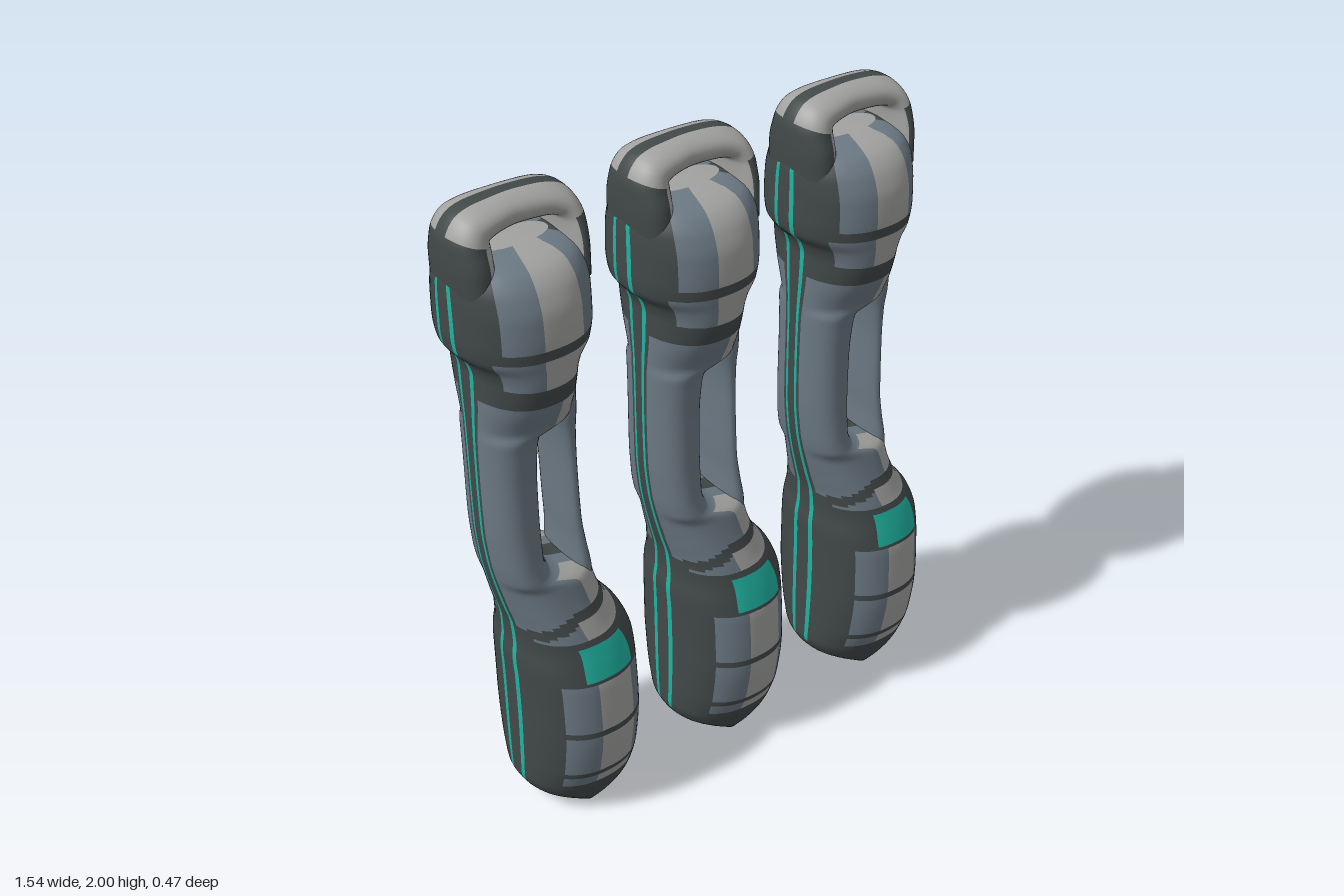
import * as THREE from 'three';

const colours = { darkTrim: 0x424848, lightPlate: 0xa2a3a0, blueGreyShell: 0x6c7984, tealLight: 0x1fb3a1 };
const materials = Object.entries(colours).map(([name, color]) => {
  const m = new THREE.MeshStandardMaterial({ color });
  m.name = name;
  return m;
});
const DARK = 0, LIGHT = 1, BLUE = 2, TEAL = 3;

// Smooth interpolation of rows [t, a, b, c...] without overshoot
function sample(rows, t) {
  let i = 0;
  while (i < rows.length - 2 && t > rows[i + 1][0]) i++;
  const h = rows[i + 1][0] - rows[i][0], f = (t - rows[i][0]) / h;
  return rows[0].slice(1).map((_, n) => {
    const k = n + 1;
    const slope = (j) => (rows[j + 1][k] - rows[j][k]) / (rows[j + 1][0] - rows[j][0]);
    const tangent = (j) => {
      if (j === 0) return slope(0);
      if (j === rows.length - 1) return slope(j - 1);
      const p = slope(j - 1), q = slope(j);
      return p * q <= 0 ? 0 : (2 * p * q) / (p + q);
    };
    const f2 = f * f, f3 = f2 * f;
    return rows[i][k] * (2 * f3 - 3 * f2 + 1) + rows[i + 1][k] * (3 * f2 - 2 * f3)
      + h * (tangent(i) * (f3 - 2 * f2 + f) + tangent(i + 1) * (f3 - f2));
  });
}

// Skin over sections {x, y, tilt, hu, hz}; paint(y, u, s) picks the colour of each cell
function loft(sections, sides, power, paint) {
  const pos = [], faces = [[], [], [], []];
  const angle = (k) => ((k + 0.5) * 2 * Math.PI) / sides;
  const across = (a) => Math.sign(Math.cos(a)) * Math.abs(Math.cos(a)) ** power;
  for (const { x, y, tilt, hu, hz } of sections) {
    for (let k = 0; k < sides; k++) {
      const u = across(angle(k)) * hu;
      pos.push(x + Math.cos(tilt) * u, y + Math.sin(tilt) * u, hz * Math.sin(angle(k)));
    }
  }
  for (let i = 0; i < sections.length - 1; i++) {
    for (let k = 0; k < sides; k++) {
      const a = i * sides + k, b = i * sides + ((k + 1) % sides), c = a + sides, d = b + sides;
      const mid = angle(k + 0.5);
      const y = (sections[i].y + sections[i + 1].y) / 2;
      faces[paint(y, across(mid), Math.abs(Math.sin(mid)))].push(a, c, b, b, c, d);
    }
  }
  // End caps
  const last = sections.length - 1, base = last * sides, centre = pos.length / 3;
  pos.push(sections[0].x, sections[0].y, 0, sections[last].x, sections[last].y, 0);
  const c0 = paint(sections[0].y, 0, 1), c1 = paint(sections[last].y, 0, 1);
  for (let k = 0; k < sides; k++) {
    const n = (k + 1) % sides;
    faces[c0].push(centre, k, n);
    faces[c1].push(centre + 1, base + n, base + k);
  }
  const geo = new THREE.BufferGeometry();
  geo.setAttribute('position', new THREE.Float32BufferAttribute(pos, 3));
  geo.setIndex(faces.flat());
  let start = 0;
  faces.forEach((f, m) => { if (f.length) geo.addGroup(start, f.length, m); start += f.length; });
  geo.computeVertexNormals();
  return geo;
}

// Upright profile rows: y, left edge x, right edge x, half depth
function upright(rows, step) {
  const y0 = rows[0][0], y1 = rows[rows.length - 1][0], n = Math.round((y1 - y0) / step);
  return Array.from({ length: n + 1 }, (_, i) => {
    const y = y0 + ((y1 - y0) * i) / n, [l, r, hz] = sample(rows, y);
    return { x: (l + r) / 2, y, tilt: 0, hu: (r - l) / 2, hz };
  });
}

const bodyRows = [
  [0, 0.0, 0.09, 0.125], [0.03, -0.06, 0.16, 0.145], [0.07, -0.11, 0.215, 0.165], [0.12, -0.13, 0.235, 0.185],
  [0.2, -0.131, 0.238, 0.214], [0.35, -0.131, 0.24, 0.234], [0.5, -0.133, 0.235, 0.23], [0.57, -0.136, 0.232, 0.218],
  [0.63, -0.13, 0.212, 0.203], [0.69, -0.133, 0.165, 0.185], [0.76, -0.15, 0.135, 0.163], [0.84, -0.17, 0.112, 0.145],
  [0.88, -0.178, -0.02, 0.138], [0.93, -0.187, -0.037, 0.131], [1.05, -0.198, -0.038, 0.123], [1.2, -0.2, -0.036, 0.12],
  [1.3, -0.2, -0.028, 0.124], [1.34, -0.2, -0.015, 0.13], [1.37, -0.2, 0.084, 0.138], [1.45, -0.2, 0.085, 0.175],
  [1.53, -0.2, 0.087, 0.197], [1.57, -0.21, 0.1, 0.202], [1.61, -0.24, 0.132, 0.206], [1.66, -0.246, 0.14, 0.209],
  [1.73, -0.246, 0.14, 0.205], [1.79, -0.245, 0.139, 0.186], [1.83, -0.235, 0.13, 0.155], [1.85, -0.22, 0.115, 0.12],
  [1.865, -0.16, 0.06, 0.05],
];

function panels(u) {
  if (u < -0.64 || u > 0.89) return DARK;
  return u > -0.2 && u < 0.48 ? LIGHT : BLUE;
}

function paintBody(y, u, s) {
  // Twin light lines and dark seam on the outer edge
  if (u < 0 && y > 0.1 && s > 0.12 && s < 0.18) return TEAL;
  if (u < 0 && s < 0.25) return DARK;
  // Rounded base
  if (y < 0.13 || (y > 0.17 && y < 0.185)) return DARK;
  if (y > 0.34 && y < 0.36) return u > 0.82 && s > 0.2 ? LIGHT : DARK;
  if (y < 0.53) return panels(u);
  if (y < 0.665) return y > 0.54 && y < 0.65 && u > -0.36 && u < 0.56 ? TEAL : DARK;
  const collar = 0.74 - 0.06 * Math.max(0, -u);
  if (Math.abs(y - collar) < 0.016) return DARK;
  if (y < collar) return u > -0.1 ? LIGHT : BLUE;
  // Shaft
  if (u > 0 && s < 0.2 && y < 1.53) return DARK;
  if (y < 0.87) return u > 0.4 && u < 0.9 ? LIGHT : BLUE;
  if (y < 1.47) return y > 1.35 && u > 0.25 && u < 0.75 ? LIGHT : BLUE;
  if (y < 1.53) return DARK;
  // Head
  if (y < 1.62) return u > 0.97 || u < -0.75 ? DARK : u < -0.2 ? BLUE : LIGHT;
  if (y < 1.645) return DARK;
  return panels(u);
}

// Slim strut beside the long slot
const strutRows = [
  [0.74, 0.02, 0.125, 0.1], [0.84, 0.04, 0.113, 0.105], [0.92, 0.042, 0.1, 0.095], [1.0, 0.038, 0.09, 0.09],
  [1.2, 0.03, 0.085, 0.088], [1.3, 0.018, 0.085, 0.095], [1.36, 0.005, 0.084, 0.11], [1.44, 0.0, 0.08, 0.12],
];
const paintStrut = (y, u, s) => (u > 0 && s < 0.25 ? DARK : BLUE);

// Carrying handle path: t, x, y, quarter turns, half thickness, half depth
const handleRows = [
  [0, -0.183, 1.76, 0, 0.058, 0.125], [1, -0.185, 1.85, 0, 0.06, 0.118], [2, -0.184, 1.9, -0.1, 0.06, 0.102],
  [3, -0.168, 1.936, -0.5, 0.055, 0.09], [4, -0.11, 1.952, -0.93, 0.045, 0.08], [5, -0.05, 1.956, -1, 0.044, 0.072],
  [6, 0.02, 1.953, -1.04, 0.043, 0.075], [7, 0.08, 1.938, -1.4, 0.04, 0.086], [8, 0.102, 1.9, -1.9, 0.036, 0.1],
  [9, 0.104, 1.85, -2, 0.034, 0.115], [10, 0.1, 1.76, -2, 0.034, 0.125],
];
const handleSections = Array.from({ length: 61 }, (_, i) => {
  const [x, y, turn, hu, hz] = sample(handleRows, i / 6);
  return { x, y, tilt: (turn * Math.PI) / 2, hu, hz };
});
function paintHandle(y, u, s) {
  if (u < 0 && s < 0.2) return DARK;
  return y < 1.915 && u < 0.2 ? DARK : LIGHT;
}

export function createModel() {
  const model = new THREE.Group();
  const parts = {
    body: loft(upright(bodyRows, 0.01), 80, 0.85, paintBody),
    strut: loft(upright(strutRows, 0.02), 32, 0.9, paintStrut),
    carryHandle: loft(handleSections, 40, 0.9, paintHandle),
  };
  // Three identical canisters in a row
  [-0.525, 0, 0.53].forEach((x, i) => {
    const canister = new THREE.Group();
    canister.name = ['rightCanister', 'middleCanister', 'leftCanister'][i];
    canister.position.x = x;
    for (const [name, geo] of Object.entries(parts)) {
      const mesh = new THREE.Mesh(geo, materials);
      mesh.name = name;
      canister.add(mesh);
    }
    model.add(canister);
  });
  return model;
}
